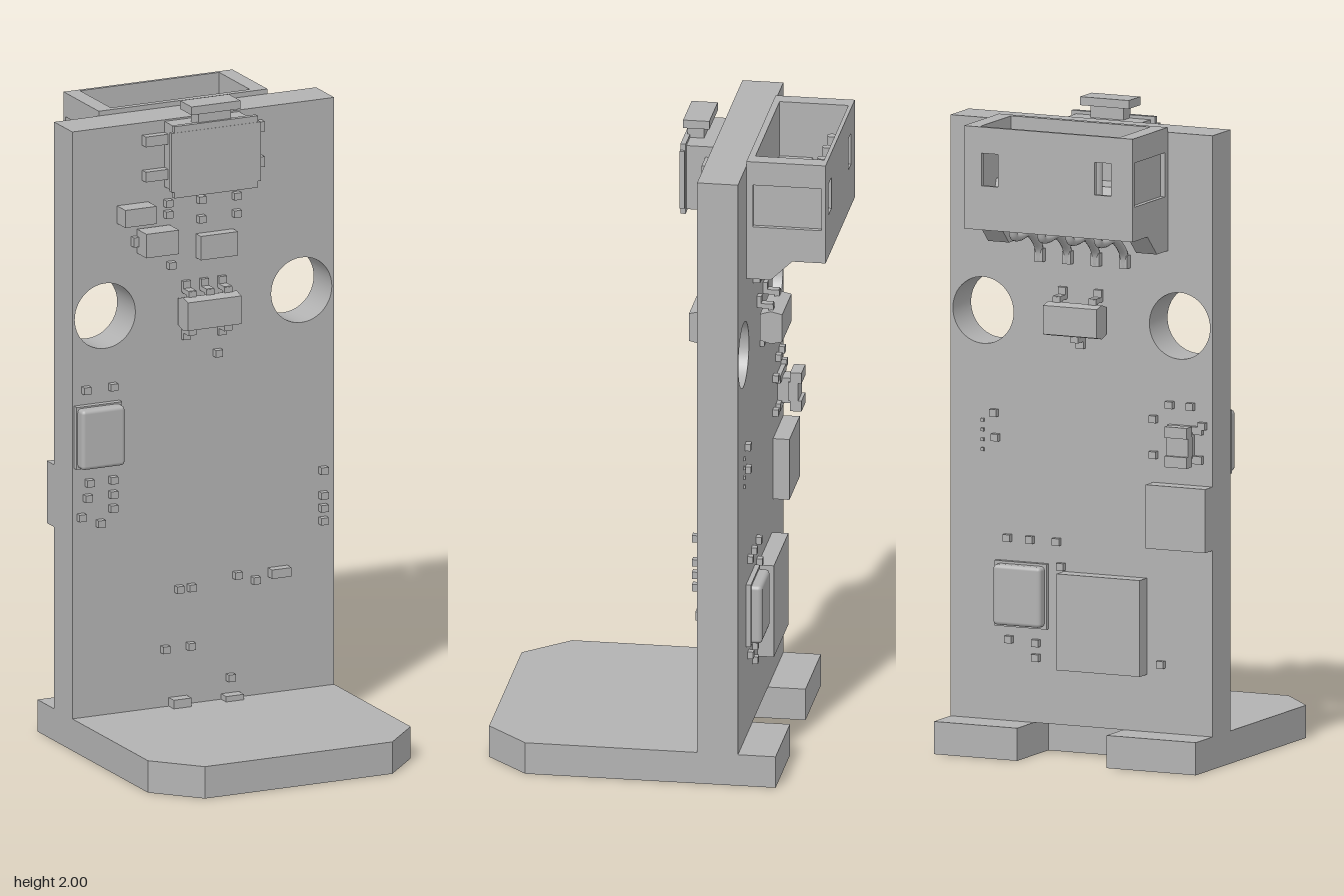
import * as THREE from 'three';
import { toCreasedNormals } from 'three/addons/utils/BufferGeometryUtils.js';
import { RoundedBoxGeometry } from 'three/addons/geometries/RoundedBoxGeometry.js';

const FRONT = -0.145, BACK = -0.27; // circuit board faces

export function createModel() {
  const grey = new THREE.MeshStandardMaterial({ color: 0xb2b2b2 });
  grey.name = 'plainGrey';
  const model = new THREE.Group();
  model.name = 'circuitBoardOnStand';

  const add = (name, geometry, parent = model) => {
    const mesh = new THREE.Mesh(geometry, grey);
    mesh.name = name;
    parent.add(mesh);
    return mesh;
  };
  const group = (name) => {
    const g = new THREE.Group();
    g.name = name;
    model.add(g);
    return g;
  };
  // Box given by its limits
  const box = (name, x0, x1, y0, y1, z0, z1, parent) =>
    add(name, new THREE.BoxGeometry(x1 - x0, y1 - y0, z1 - z0)
      .translate((x0 + x1) / 2, (y0 + y1) / 2, (z0 + z1) / 2), parent);
  const polygon = (points) => new THREE.Shape(points.map(([a, b]) => new THREE.Vector2(a, b)));
  const extrude = (shape, depth) =>
    new THREE.ExtrudeGeometry(shape, { depth, bevelEnabled: false, curveSegments: 24 });
  // Profile in (z, y), extruded across x0..x1
  const sideProfile = (name, points, x0, x1, parent) =>
    add(name, extrude(polygon(points), x1 - x0).rotateY(-Math.PI / 2).translate(x1, 0, 0), parent);
  const rectHole = (x, y, w, h) => {
    const p = new THREE.Path();
    p.moveTo(x - w / 2, y - h / 2);
    p.lineTo(x - w / 2, y + h / 2);
    p.lineTo(x + w / 2, y + h / 2);
    p.lineTo(x + w / 2, y - h / 2);
    p.closePath();
    return p;
  };

  // Stand with chamfered front corners and a rear notch
  const base = polygon([[-0.44, -0.385], [-0.14, -0.385], [-0.14, -0.17], [0.16, -0.17], [0.16, -0.385],
    [0.44, -0.385], [0.44, 0.38], [0.315, 0.51], [-0.315, 0.51], [-0.44, 0.375]]);
  add('stand', extrude(base, 0.1).rotateX(Math.PI / 2).translate(0, 0.1, 0));

  // Upright board with two mounting holes
  const board = polygon([[-0.44, 0.1], [0.44, 0.1], [0.44, 1.94], [-0.44, 1.94]]);
  for (const x of [-0.33, 0.33]) {
    const hole = new THREE.Path();
    hole.absarc(x, 1.35, 0.102, 0, Math.PI * 2, true);
    board.holes.push(hole);
  }
  add('board', toCreasedNormals(extrude(board, FRONT - BACK).translate(0, 0, BACK), 0.6));

  // Front push button
  const button = group('pushButton');
  box('buttonBody', -0.13, 0.12, 1.73, 1.935, FRONT, -0.055, button);
  box('buttonCover', -0.155, 0.145, 1.74, 1.925, -0.06, -0.045, button);
  box('buttonCoverMiddle', -0.145, 0.135, 1.72, 1.945, -0.062, -0.046, button);
  box('buttonStem', -0.06, 0.05, 1.93, 1.976, -0.105, -0.055, button);
  box('buttonCap', -0.088, 0.076, 1.974, 2, -0.125, -0.045, button);
  for (const y of [1.775, 1.885]) {
    box('buttonLeg', -0.205, -0.12, y - 0.016, y + 0.016, FRONT, -0.12, button);
    box('buttonLeg', 0.11, 0.195, y - 0.016, y + 0.016, FRONT, -0.12, button);
  }

  // Transistor-like package: chamfered body with bent legs, s = outward direction
  const legPackage = (name, x, y, face, s, height, upper, lower) => {
    const g = group(name);
    const pts = [[0.012, -0.042], [0.045, -0.052], [height, -0.044], [height, 0.044], [0.045, 0.052], [0.012, 0.042]]
      .map(([d, v]) => [face + s * d, y + v]);
    sideProfile('packageBody', s > 0 ? pts : pts.reverse(), x - 0.09, x + 0.09, g);
    const legs = [...upper.map((lx) => [lx, 1]), ...lower.map((lx) => [lx, -1])];
    for (const [lx, up] of legs) {
      const leg = (v0, v1, d0, d1) => {
        const ys = [y + up * v0, y + up * v1].sort((a, b) => a - b);
        const zs = [face + s * d0, face + s * d1].sort((a, b) => a - b);
        box('packageLeg', x + lx - 0.013, x + lx + 0.013, ys[0], ys[1], zs[0], zs[1], g);
      };
      leg(0.04, 0.068, 0.035, 0.05);
      leg(0.055, 0.07, 0.005, 0.048);
      leg(0.057, 0.092, 0, 0.013);
    }
  };
  legPackage('frontTransistor', 0, 1.337, FRONT, 1, 0.08, [-0.06, 0, 0.06], [-0.06, 0.06]);
  legPackage('rearTransistor', 0, 1.35, BACK, -1, 0.08, [-0.06, 0.06], [0]);

  // Larger front parts
  box('crystalBase', -0.435, -0.282, 0.885, 1.08, FRONT, -0.125);
  add('crystalCan', new RoundedBoxGeometry(0.145, 0.187, 0.06, 2, 0.012).translate(-0.359, 0.982, -0.122));
  box('frontInductor', -0.29, -0.185, 1.635, 1.69, FRONT, -0.087);
  box('frontDiode', -0.225, -0.115, 1.535, 1.61, -0.14, -0.075);
  box('frontDiodeFeet', -0.242, -0.098, 1.558, 1.588, FRONT, -0.125);
  box('frontCapacitor', -0.025, 0.1, 1.495, 1.57, FRONT, -0.11);
  box('frontResistor', 0.217, 0.282, 0.465, 0.493, FRONT, -0.115);
  for (const x of [-0.086, 0.09]) box('lowerComponent', x - 0.03, x + 0.03, 0.1, x < 0 ? 0.127 : 0.117, FRONT, -0.11);

  // Larger rear parts
  box('rearChipBase', 0.11, 0.285, 0.39, 0.59, -0.285, BACK);
  add('rearChipCan', new RoundedBoxGeometry(0.16, 0.185, 0.05, 2, 0.012).translate(0.197, 0.49, -0.292));
  box('rearMainChip', -0.22, 0.06, 0.275, 0.57, -0.32, BACK);
  box('rearEdgeChip', -0.44, -0.24, 0.67, 0.865, -0.32, BACK);
  const sensor = group('rearSensor');
  box('sensorCore', -0.38, -0.325, 0.95, 1.03, -0.325, BACK, sensor);
  box('sensorTop', -0.39, -0.315, 0.96, 1.02, -0.335, -0.305, sensor);
  for (const y of [0.945, 1.035]) {
    box('sensorEnd', -0.39, -0.315, y - 0.017, y + 0.017, -0.345, -0.31, sensor);
    box('sensorFoot', -0.41, -0.295, y - 0.012, y + 0.012, -0.284, BACK, sensor);
  }

  // Tiny passive components: [x, y]
  const frontChips = [[-0.397, 1.127], [-0.307, 1.127], [-0.386, 0.835], [-0.307, 0.835], [-0.392, 0.788],
    [-0.307, 0.79], [-0.307, 0.746], [-0.413, 0.73], [-0.349, 0.704], [0.4, 0.778], [0.4, 0.7], [0.4, 0.66],
    [0.4, 0.62], [-0.085, 0.465], [-0.043, 0.465], [0.111, 0.485], [0.172, 0.462], [-0.132, 0.282],
    [-0.046, 0.282], [0.088, 0.167], [-0.122, 1.68], [-0.122, 1.645], [-0.011, 1.678], [-0.011, 1.617],
    [0.108, 1.675], [0.108, 1.62], [-0.111, 1.484], [0.045, 1.19]];
  const rearChips = [[0.29, 1.04], [0.285, 0.965], [0.245, 0.66], [0.17, 0.66], [0.08, 0.66], [0.065, 0.585],
    [0.24, 0.35], [0.15, 0.345], [0.15, 0.3], [-0.27, 0.31], [-0.3, 1.107], [-0.37, 1.107], [-0.245, 1.06],
    [-0.41, 1.05], [-0.245, 0.95]];
  for (const [x, y] of frontChips) box('smallComponent', x - 0.012, x + 0.012, y - 0.011, y + 0.011, FRONT, -0.125);
  for (const [x, y] of rearChips) box('smallComponent', x - 0.012, x + 0.012, y - 0.011, y + 0.011, -0.287, BACK);
  for (let i = 0; i < 4; i++) box('testPoint', 0.325, 0.335, 0.92 + i * 0.03, 0.93 + i * 0.03, -0.277, BACK);

  // Rear socket: open-topped housing with latch windows
  const socket = group('cableSocket');
  const L = -0.29, R = 0.277, TOP = 1.955, BOTTOM = 1.64;
  const rear = polygon([[L, BOTTOM], [R, BOTTOM], [R, TOP], [L, TOP]]);
  for (const x of [-0.19, 0.19]) rear.holes.push(rectHole(x, 1.825, 0.055, 0.1));
  add('socketRearWall', extrude(rear, 0.012).translate(0, 0, -0.512), socket);
  box('socketFrontWall', L, R, BOTTOM, TOP, -0.29, BACK, socket);
  // Side walls with a shallow outer recess and sloping feet
  for (const [x0, x1, out] of [[L, -0.24, -1], [0.227, R, 1]]) {
    const inner = out < 0 ? [x0 + 0.015, x1] : [x0, x1 - 0.015];
    const skin = out < 0 ? [x0, x0 + 0.015] : [x1 - 0.015, x1];
    box('socketSideWall', inner[0], inner[1], BOTTOM, TOP, -0.5, -0.29, socket);
    box('socketSideTop', skin[0], skin[1], 1.88, TOP, -0.5, -0.29, socket);
    box('socketSideBottom', skin[0], skin[1], BOTTOM, 1.745, -0.5, -0.29, socket);
    sideProfile('socketFoot', [[-0.41, BOTTOM], [-0.345, 1.577], [BACK, 1.577], [BACK, BOTTOM]],
      out < 0 ? x0 : x1 - 0.07, out < 0 ? x0 + 0.07 : x1, socket);
  }
  // Stepped cavity floor
  sideProfile('socketFloor', [[-0.5, BOTTOM], [-0.29, BOTTOM], [-0.29, 1.78], [-0.39, 1.78], [-0.425, 1.69], [-0.5, 1.69]],
    -0.24, 0.227, socket);

  // Contact pins and bent solder leads
  for (let i = 0; i < 4; i++) {
    const x = -0.15 + i * 0.095;
    add('contactPin', new THREE.CylinderGeometry(0.015, 0.015, 0.21, 16).translate(x, 1.785, -0.465), socket);
    const path = new THREE.CatmullRomCurve3([[1.66, -0.465], [1.62, -0.46], [1.612, -0.42], [1.615, -0.36],
      [1.59, -0.315], [1.555, -0.285], [1.52, -0.28]].map(([y, z]) => new THREE.Vector3(x, y, z)));
    add('solderLead', new THREE.TubeGeometry(path, 24, 0.013, 10), socket);
    box('solderPad', x - 0.014, x + 0.014, 1.515, 1.555, -0.292, BACK, socket);
  }
  return model;
}
